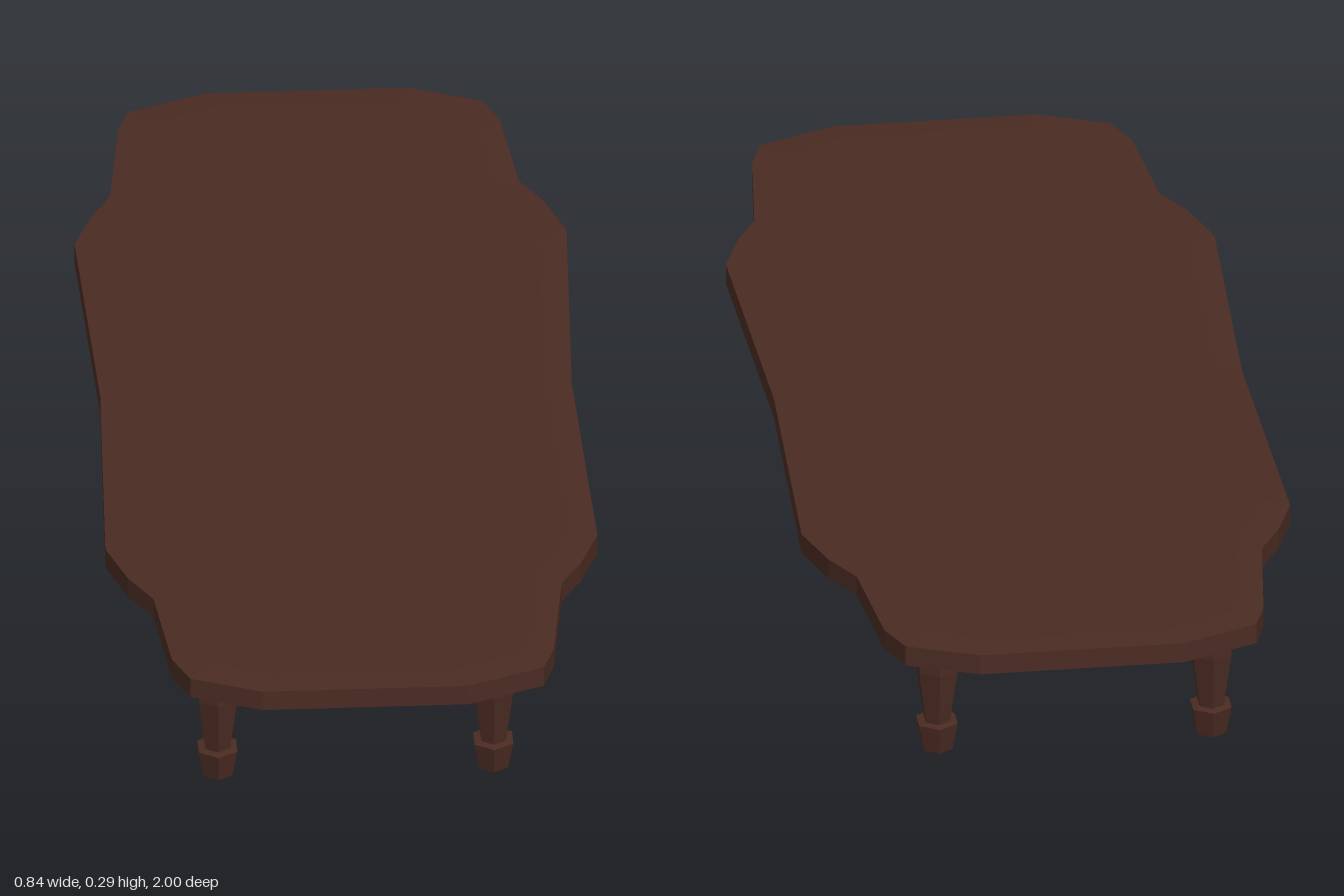
import * as THREE from 'three';

export function createModel() {
  const group = new THREE.Group();
  const wood = new THREE.MeshStandardMaterial({ color: 0x4a2b22, flatShading: true });
  wood.name = 'dark wood';

  // Scalloped outline: one long side as [x, z]; the other is the same turned half around
  const side = [
    [0.18, -1], [0.3, -0.95], [0.328, -0.885], [0.348, -0.68], [0.387, -0.61], [0.42, -0.51],
    [0.4, 0], [0.415, 0.51], [0.382, 0.6], [0.346, 0.665], [0.32, 0.885], [0.3, 0.945], [0.168, 1],
  ];
  const outline = [...side, ...side.map(([x, z]) => [-x, -z])];

  // Table top as rings [x scale, z scale, y], from the hollow underside round the rim to the crown
  const rings = [
    [0, 0, 0.275], [0.87, 0.945, 0.275], [1, 1, 0.248],
    [1, 1, 0.284], [0.88, 0.95, 0.287], [0, 0, 0.287],
  ];
  const positions = rings.flatMap(([sx, sz, y]) => outline.flatMap(([x, z]) => [x * sx, y, z * sz]));
  const n = outline.length;
  const indices = [];
  for (let r = 0; r < rings.length - 1; r++) {
    for (let i = 0; i < n; i++) {
      const j = (i + 1) % n;
      const [a, b, c, d] = [r * n + i, r * n + j, (r + 1) * n + j, (r + 1) * n + i];
      if (r < rings.length - 2) indices.push(a, d, c);
      if (r > 0) indices.push(a, c, b);
    }
  }
  const topGeometry = new THREE.BufferGeometry();
  topGeometry.setAttribute('position', new THREE.Float32BufferAttribute(positions, 3));
  topGeometry.setIndex(indices);
  topGeometry.computeVertexNormals();
  const tableTop = new THREE.Mesh(topGeometry, wood);
  tableTop.name = 'tableTop';
  group.add(tableTop);

  // Six-sided turned legs with flared feet, a little deeper than wide
  const profile = [[0, 0], [0.028, 0], [0.038, 0.05], [0.024, 0.052], [0.038, 0.15], [0.029, 0.276]]
    .map(([r, y]) => new THREE.Vector2(r, y));
  const legGeometry = new THREE.LatheGeometry(profile, 6);
  legGeometry.scale(1, 1, 1.08);
  for (const [xName, x] of [['Left', 0.223], ['Right', -0.245]]) {
    for (const [zName, z] of [['front', 0.779], ['back', -0.77]]) {
      const leg = new THREE.Mesh(legGeometry, wood);
      leg.name = zName + xName + 'Leg';
      leg.position.set(x, 0, z);
      group.add(leg);
    }
  }
  return group;
}
